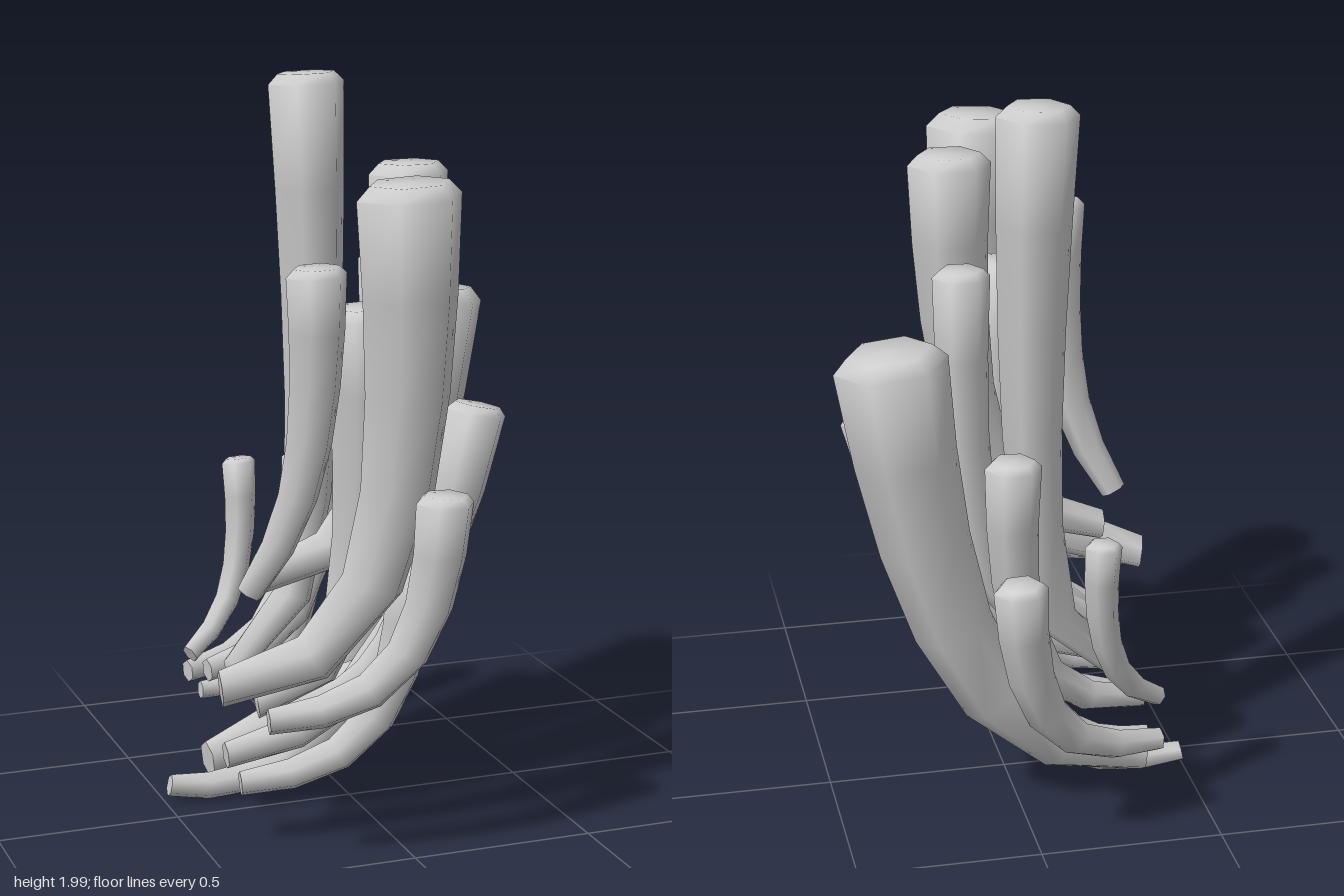
import * as THREE from 'three';
import { toCreasedNormals } from 'three/addons/utils/BufferGeometryUtils.js';

const SIDES = 6;
const STEPS = 6;

// Each stalk: tip x, y, z, then top x, y, z, then radius at the top.
const STALKS = [
  [-0.34, 0.28, -0.42, 0.08, 0.86, -0.595, 0.072],
  [-0.36, 0.36, -0.33, -0.17, 0.89, -0.455, 0.05],
  [-0.33, 0.25, -0.33, 0, 0.52, -0.36, 0.045],
  [-0.33, 0.33, -0.26, 0.055, 1.11, -0.385, 0.076],
  [-0.36, 0.1, -0.17, 0.355, 1.39, -0.27, 0.152],
  [-0.3, 0.36, -0.14, -0.04, 2, -0.23, 0.11],
  [-0.49, 0.06, -0.11, 0.075, 0.35, -0.08, 0.065],
  [-0.3, 0.36, -0.04, 0.13, 1.53, -0.075, 0.078],
  [-0.37, 0.18, 0.03, 0.355, 1.11, 0.05, 0.092],
  [-0.3, 0.69, 0.1, 0.125, 1.79, 0.11, 0.114],
  [-0.27, 0.33, 0.13, 0.13, 0.68, 0.16, 0.046],
  [-0.33, 0.37, 0.18, -0.057, 1.44, 0.25, 0.106],
  [-0.4, 0.18, 0.25, 0.05, 0.76, 0.35, 0.076],
  [-0.38, 0.71, 0.28, -0.225, 1.57, 0.37, 0.083],
  [-0.48, 0.48, 0.34, -0.025, 1.79, 0.495, 0.143],
  [-0.4, 0.43, 0.49, 0.04, 1.01, 0.59, 0.08],
];

// A stalk leaves its tip nearly level and turns upright: squat ones turn more gradually and dip,
// and those whose tops stand far to the right rise straight from the tip.
function stalkCurve(tip, top) {
  const span = top.clone().sub(tip);
  const lean = span.x / span.y;
  const steep = Math.max(0, -0.05 - top.x);
  const bend = Math.max(0.42, 0.95 - 0.35 * lean - 0.75 * Math.max(top.x, 0));
  const rise = 0.03 + 0.7 * steep - 0.22 * Math.max(0, lean - 1);
  const handle = (u, v, w) => new THREE.Vector3(u, v, w).multiply(span).add(tip);
  return new THREE.CubicBezierCurve3(
    tip,
    handle(bend - 2.5 * steep, rise, 0.42),
    handle(0.45 + 0.8 * bend, 0.2 + 0.5 * steep, 0.78),
    top,
  );
}

// Lofts six-sided rings along the curve, with a bevelled top and a flat tip.
function stalkGeometry([x0, y0, z0, x1, y1, z1, topRadius]) {
  const curve = stalkCurve(new THREE.Vector3(x0, y0, z0), new THREE.Vector3(x1, y1, z1));
  const tipRadius = 0.015 + 0.25 * topRadius;
  const bevel = topRadius * 0.25 / curve.getLength();

  const rings = [];
  for (let i = 0; i <= STEPS; i++) {
    const t = (1 - bevel) * i / STEPS;
    rings.push([t, THREE.MathUtils.lerp(tipRadius, topRadius, Math.pow(t, 0.8))]);
  }
  rings.push([1, topRadius * 0.74]);

  const points = [];
  for (const [t, radius] of rings) {
    const centre = curve.getPointAt(t);
    const tangent = curve.getTangentAt(t);
    const across = new THREE.Vector3(0, 0, 1).cross(tangent).normalize();
    const side = tangent.clone().cross(across);
    for (let j = 0; j < SIDES; j++) {
      const a = j / SIDES * Math.PI * 2;
      const p = centre.clone()
        .addScaledVector(across, Math.cos(a) * radius)
        .addScaledVector(side, Math.sin(a) * radius * 0.88);
      points.push(p.x, p.y, p.z);
    }
  }

  // The two end faces fan out from a centre point each.
  const topRing = (rings.length - 1) * SIDES;
  const tipCentre = topRing + SIDES;
  const topCentre = tipCentre + 1;
  points.push(x0, y0, z0, x1, y1, z1);

  const index = [];
  for (let j = 0; j < SIDES; j++) {
    const k = (j + 1) % SIDES;
    for (let ring = 0; ring < topRing; ring += SIDES) {
      const a = ring + j, b = ring + k;
      index.push(a, b, b + SIDES, a, b + SIDES, a + SIDES);
    }
    index.push(tipCentre, k, j, topCentre, topRing + j, topRing + k);
  }

  const geometry = new THREE.BufferGeometry();
  geometry.setAttribute('position', new THREE.Float32BufferAttribute(points, 3));
  geometry.setIndex(index);
  return toCreasedNormals(geometry, 1.25);
}

export function createModel() {
  const group = new THREE.Group();
  group.name = 'tubeCluster';
  const material = new THREE.MeshStandardMaterial({ color: 0xcccccc });
  STALKS.forEach((stalk, i) => {
    const mesh = new THREE.Mesh(stalkGeometry(stalk), material);
    mesh.name = `stalk${i + 1}`;
    group.add(mesh);
  });
  return group;
}
